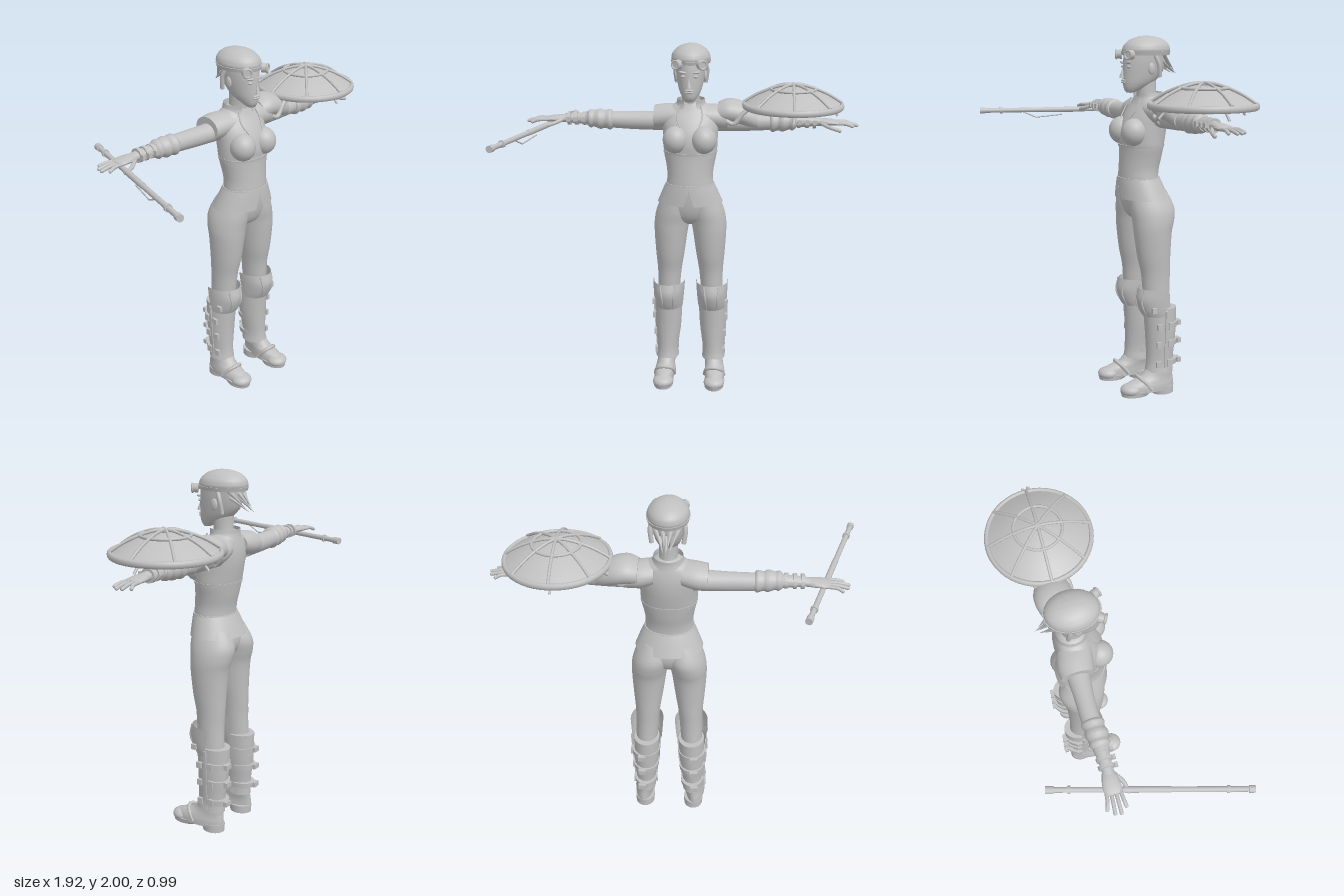
import * as THREE from 'three';
import { toCreasedNormals } from 'three/addons/utils/BufferGeometryUtils.js';

const MID = 0.037; // body centre line
const grey = new THREE.MeshStandardMaterial({ color: 0xc0c0c0, side: THREE.DoubleSide });
grey.name = 'plain grey';

function add(parent, name, geo, pos = [0, 0, 0], scale = [1, 1, 1], rot = [0, 0, 0]) {
  const m = new THREE.Mesh(geo, grey);
  m.name = name;
  m.position.set(...pos); m.scale.set(...scale); m.rotation.set(...rot);
  parent.add(m);
  return m;
}

// Spline through rows of numbers, k steps per span
function smoothRows(rows, k) {
  const out = [], last = rows.length - 1;
  for (let i = 0; i < last; i++) {
    const [p, a, b, q] = [rows[Math.max(i - 1, 0)], rows[i], rows[i + 1], rows[Math.min(i + 2, last)]];
    for (let s = 0; s < k; s++) {
      const t = s / k;
      out.push(a.map((_, c) => 0.5 * (2 * a[c] + (b[c] - p[c]) * t + (2 * p[c] - 5 * a[c] + 4 * b[c] - q[c]) * t * t
        + (3 * a[c] - p[c] - 3 * b[c] + q[c]) * t * t * t)));
    }
  }
  return [...out, rows[last]];
}

// Skin over elliptical sections: [position on axis, centre, half width, front z, back z, half gap angle]
function loft(rows, { axis = 'y', k = 4, n = 28, capped = true, crease = 0.9 } = {}) {
  const r = smoothRows(rows, k), pos = [], idx = [], w = n + 1;
  const put = (t, c, z) => (axis === 'y' ? pos.push(c, t, z) : pos.push(t, c, z));
  for (const [t, c, rx, hi, lo, gap = 0] of r)
    for (let j = 0; j <= n; j++) {
      const a = Math.PI / 2 + gap + (j / n) * 2 * (Math.PI - gap);
      put(t, c + rx * Math.cos(a), (hi + lo) / 2 + (hi - lo) / 2 * Math.sin(a));
    }
  const flip = (axis === 'x') !== (r.at(-1)[0] < r[0][0]) !== (r[0][3] < r[0][4]);
  const tri = (a, b, c) => idx.push(...(flip ? [a, c, b] : [a, b, c]));
  for (let i = 0; i < r.length - 1; i++)
    for (let j = 0; j < n; j++) {
      const a = i * w + j;
      tri(a, a + w, a + 1); tri(a + 1, a + w, a + w + 1);
    }
  if (capped) for (const i of [0, r.length - 1]) {
    const mid = pos.length / 3;
    put(r[i][0], r[i][1], (r[i][3] + r[i][4]) / 2);
    for (let j = 0; j < n; j++) i ? tri(mid, i * w + j + 1, i * w + j) : tri(mid, j, j + 1);
  }
  const g = new THREE.BufferGeometry();
  g.setAttribute('position', new THREE.Float32BufferAttribute(pos, 3));
  g.setIndex(idx);
  return toCreasedNormals(g, crease);
}

const ball = new THREE.SphereGeometry(1, 24, 16);
const tube = (pts, r, seg = 12, sides = 8) =>
  new THREE.TubeGeometry(new THREE.CatmullRomCurve3(pts.map(p => new THREE.Vector3(...p))), seg, r, sides);
function rod(parent, name, a, b, r) {
  const A = new THREE.Vector3(...a), d = new THREE.Vector3(...b).sub(A);
  const m = add(parent, name, new THREE.CylinderGeometry(r, r, d.length(), 14));
  m.position.copy(A).addScaledVector(d, 0.5);
  m.quaternion.setFromUnitVectors(new THREE.Vector3(0, 1, 0), d.normalize());
}

function head(g) {
  add(g, 'head', loft([[1.695, 0, 0.022, -0.04, -0.08], [1.715, 0, 0.04, -0.026, -0.13], [1.75, 0, 0.06, -0.02, -0.2],
    [1.8, 0, 0.073, -0.02, -0.25], [1.86, 0, 0.081, -0.022, -0.272], [1.92, 0, 0.083, -0.03, -0.278]]));
  add(g, 'neck', loft([[1.62, 0, 0.062, -0.1, -0.24], [1.68, 0, 0.049, -0.105, -0.215], [1.77, 0, 0.048, -0.09, -0.215]]));
  add(g, 'nose', new THREE.ConeGeometry(0.015, 0.06, 8), [0, 1.805, -0.012], [1, 1, 0.9], [-0.15, 0, 0]);
  for (const y of [1.751, 1.762]) add(g, 'lip', ball, [0, y, -0.02], [0.024, 0.006, 0.011]);
  for (const s of [-1, 1]) {
    add(g, 'eye', ball, [s * 0.033, 1.835, -0.034], [0.015, 0.008, 0.01]);
    add(g, 'brow', ball, [s * 0.035, 1.857, -0.031], [0.024, 0.007, 0.011], [0, 0, s * 0.15]);
    add(g, 'ear', ball, [s * 0.08, 1.825, -0.15], [0.01, 0.032, 0.02]);
    add(g, 'goggle', new THREE.CylinderGeometry(0.022, 0.026, 0.03, 16), [s * 0.066, 1.9, -0.025], [1, 1, 1], [Math.PI / 2, 0, s * -0.5]);
    add(g, 'gogglePad', new THREE.TorusGeometry(0.022, 0.006, 8, 16), [s * 0.073, 1.9, -0.011], [1, 1, 1], [0, s * 0.5, 0]);
    add(g, 'sideHair', tube([[s * 0.078, 1.9, -0.17], [s * 0.088, 1.85, -0.19], [s * 0.08, 1.78, -0.2]], 0.012));
  }
  add(g, 'cap', loft([[1.9, 0, 0.1, -0.026, -0.285], [1.925, 0, 0.107, -0.02, -0.293], [1.955, 0, 0.096, -0.034, -0.284],
    [1.982, 0, 0.066, -0.07, -0.25], [1.996, 0, 0.03, -0.115, -0.2], [2, 0, 0.002, -0.156, -0.16]]));
  add(g, 'capBand', loft([[1.896, 0, 0.106, -0.017, -0.29], [1.915, 0, 0.111, -0.012, -0.296]], { k: 1 }));
  // Tufts of hair below the back of the cap
  for (let i = 0; i < 7; i++) {
    const u = (i - 3) / 3, drop = i % 2 * 0.03;
    add(g, 'hairTuft', new THREE.ConeGeometry(0.02, 0.13, 6), [u * 0.045, 1.86 - drop, -0.295 + Math.abs(u) * 0.03], [1, 1, 0.7], [-2.45 + drop * 8, 0, u * 0.35]);
  }
}

function torso(g) {
  add(g, 'torso', loft([[1.18, 0, 0.135, -0.005, -0.225], [1.23, 0, 0.131, -0.003, -0.218], [1.28, 0, 0.128, -0.006, -0.222],
    [1.34, 0, 0.136, -0.01, -0.235], [1.4, 0, 0.148, -0.012, -0.245], [1.46, 0, 0.151, -0.008, -0.256], [1.52, 0, 0.154, -0.02, -0.264],
    [1.58, 0, 0.158, -0.05, -0.264], [1.63, 0, 0.143, -0.085, -0.255], [1.66, 0, 0.1, -0.1, -0.245], [1.685, 0, 0.055, -0.11, -0.225]]));
  add(g, 'underbustSeam', loft([[1.4, 0, 0.15, -0.006, -0.249], [1.413, 0, 0.152, -0.004, -0.251]], { k: 1 }));
  add(g, 'belt', loft([[1.212, 0, 0.139, 0.004, -0.228], [1.232, 0, 0.136, 0.003, -0.224]], { k: 1 }));
  add(g, 'collar', loft([[1.645, 0, 0.096, -0.085, -0.255, 0.45], [1.67, 0, 0.082, -0.09, -0.25, 0.4], [1.695, 0, 0.076, -0.085, -0.25, 0.5]], { capped: false }));
  // Flared skirt with a notch at the front
  add(g, 'skirt', loft([[1.228, 0, 0.136, 0.003, -0.225, 0], [1.185, 0, 0.155, 0.006, -0.245, 0.04], [1.115, 0, 0.184, 0.008, -0.275, 0.16]],
    { n: 40, capped: false }));
  add(g, 'hips', loft([[0.985, 0, 0.05, -0.1, -0.19], [1.02, 0, 0.13, -0.05, -0.235], [1.09, 0, 0.172, -0.022, -0.255],
    [1.2, 0, 0.14, -0.01, -0.23]]));
  for (const s of [-1, 1]) {
    add(g, 'bust', ball, [s * 0.078, 1.485, -0.047], [0.07, 0.076, 0.073]);
    add(g, 'vestShoulder', loft([[s * 0.07, 1.6, 0.06, -0.085, -0.265], [s * 0.14, 1.592, 0.068, -0.095, -0.28],
      [s * 0.205, 1.585, 0.066, -0.105, -0.275]], { axis: 'x' }));
    add(g, 'vestSeam', tube([[s * 0.06, 1.665, -0.095], [s * 0.07, 1.61, -0.065], [s * 0.05, 1.555, -0.026]], 0.004));
  }
}

function arm(g, s) {
  const X = { axis: 'x' };
  const sleeve = (name, rows, o = {}) => add(g, name, loft(rows.map(r => [s * r[0], ...r.slice(1)]), { ...X, ...o }));
  sleeve('upperArm', [[0.13, 1.565, 0.056, -0.12, -0.25], [0.22, 1.563, 0.052, -0.13, -0.243], [0.33, 1.563, 0.05, -0.138, -0.238], [0.47, 1.567, 0.046, -0.14, -0.236]]);
  sleeve('rolledCuff', [[0.44, 1.567, 0.046, -0.132, -0.235], [0.455, 1.567, 0.058, -0.124, -0.242], [0.485, 1.569, 0.05, -0.13, -0.234], [0.51, 1.57, 0.057, -0.12, -0.238],
    [0.545, 1.572, 0.047, -0.13, -0.228], [0.565, 1.572, 0.052, -0.125, -0.23], [0.585, 1.573, 0.036, -0.14, -0.218]]);
  sleeve('forearm', [[0.55, 1.573, 0.036, -0.14, -0.22], [0.63, 1.572, 0.031, -0.145, -0.213], [0.69, 1.572, 0.024, -0.148, -0.207], [0.73, 1.57, 0.021, -0.145, -0.21]]);
  for (const t of [0.6, 0.645, 0.685]) {
    sleeve('wristStrap', [[t - 0.009, 1.572, 0.038, -0.136, -0.22], [t + 0.009, 1.572, 0.037, -0.137, -0.219]], { k: 1 });
    add(g, 'wristBuckle', new THREE.BoxGeometry(0.022, 0.024, 0.016), [s * t, 1.575, -0.13]);
  }
  sleeve('palm', [[0.7, 1.57, 0.018, -0.15, -0.205], [0.74, 1.571, 0.02, -0.138, -0.218], [0.79, 1.569, 0.016, -0.132, -0.225], [0.825, 1.565, 0.011, -0.137, -0.22]]);
  [[0.89, 0.01], [0.917, 0.0], [0.912, -0.008], [0.885, -0.018]].forEach(([end, spread], i) => {
    const z = -0.146 - i * 0.022;
    add(g, 'finger', tube([[s * 0.8, 1.567, z], [s * 0.86, 1.566, z + spread * 0.5], [s * end, 1.556, z + spread]], 0.0095));
    add(g, 'fingertip', ball, [s * end, 1.556, z + spread], [0.0095, 0.0095, 0.0095]);
  });
  add(g, 'thumb', tube([[s * 0.725, 1.565, -0.15], [s * 0.77, 1.55, -0.118], [s * 0.82, 1.537, -0.105]], 0.011));
  add(g, 'thumbTip', ball, [s * 0.82, 1.537, -0.105], [0.011, 0.011, 0.011]);
}

function leg(g, s) {
  const part = (name, rows, o) => add(g, name, loft(rows.map(r => [r[0], s * r[1], ...r.slice(2)]), o));
  part('leg', [[1.16, 0.075, 0.075, -0.025, -0.24], [1.07, 0.09, 0.1, -0.024, -0.28], [1, 0.104, 0.101, -0.032, -0.274], [0.93, 0.111, 0.095, -0.038, -0.256],
    [0.8, 0.116, 0.082, -0.055, -0.247], [0.7, 0.12, 0.07, -0.076, -0.245], [0.6, 0.124, 0.064, -0.085, -0.243], [0.45, 0.13, 0.06, -0.1, -0.25]]);
  const shaft = [[0.12, 0.138, 0.058, -0.11, -0.262], [0.2, 0.136, 0.057, -0.113, -0.262], [0.34, 0.132, 0.069, -0.11, -0.277], [0.5, 0.128, 0.073, -0.1, -0.283]];
  part('bootShaft', shaft);
  // Front shells: front and back are swapped so that the gap falls behind
  part('shinPlate', [[0.135, 0.138, 0.068, -0.28, -0.094, 1.45], [0.2, 0.136, 0.063, -0.27, -0.103, 1.45], [0.34, 0.132, 0.076, -0.28, -0.1, 1.45],
    [0.5, 0.128, 0.08, -0.285, -0.088, 1.45]], { capped: false });
  part('kneeGuard', [[0.46, 0.128, 0.082, -0.29, -0.083, 1.75], [0.5, 0.128, 0.086, -0.29, -0.062, 1.5], [0.56, 0.127, 0.09, -0.3, -0.045, 1.4], [0.62, 0.126, 0.093, -0.3, -0.058, 1.4]], { capped: false });
  for (const [dx, w] of [[-0.035, 0.006], [0.035, 0.006]])
    add(g, 'kneeGuardRidge', tube([[s * 0.128 + dx * 0.8, 0.465, -0.09], [s * 0.127 + dx, 0.54, -0.055], [s * 0.126 + dx * 1.25, 0.615, -0.07]], w));
  add(g, 'kneeStud', new THREE.BoxGeometry(0.016, 0.03, 0.03), [s * 0.211, 0.505, -0.11]);
  [[0.405, 0.134, 0.079], [0.3, 0.133, 0.072], [0.185, 0.136, 0.064]].forEach(([y, c, r]) => {
    part('calfStrap', [[y - 0.015, c, r, -0.285, -0.108, 0], [y + 0.015, c, r + 0.002, -0.287, -0.106, 0]], { k: 1 });
    add(g, 'strapBuckle', new THREE.BoxGeometry(0.016, 0.034, 0.03), [s * (c + r), y, -0.145]);
    add(g, 'strapLoop', new THREE.BoxGeometry(0.014, 0.04, 0.03), [s * (c + r - 0.002), y, -0.215]);
    add(g, 'backBuckle', new THREE.BoxGeometry(0.045, 0.028, 0.022), [s * (c + 0.015), y, -0.29]);
  });
  add(g, 'bootSeam', new THREE.BoxGeometry(0.01, 0.35, 0.012), [s * 0.206, 0.32, -0.185], [1, 1, 1], [0, 0, s * -0.06]);
  part('sole', [[0.012, 0.15, 0.056, 0.058, -0.1], [0.04, 0.15, 0.061, 0.066, -0.14]], { k: 1 });
  part('heel', [[0, 0.144, 0.054, -0.135, -0.262], [0.045, 0.144, 0.056, -0.12, -0.264]], { k: 1 });
  part('boot', [[0.03, 0.15, 0.058, 0.06, -0.262], [0.06, 0.15, 0.058, 0.052, -0.262], [0.085, 0.147, 0.055, 0.012, -0.26], [0.11, 0.143, 0.053, -0.06, -0.258], [0.15, 0.138, 0.056, -0.1, -0.26]]);
  add(g, 'toeCap', ball, [s * 0.15, 0.045, 0.005], [0.06, 0.036, 0.06]);
  add(g, 'instepStrap', tube([[s * 0.205, 0.045, -0.1], [s * 0.185, 0.1, -0.055], [s * 0.145, 0.115, -0.04], [s * 0.105, 0.1, -0.055], [s * 0.09, 0.045, -0.1]], 0.011));
}

function shield() {
  const g = new THREE.Group();
  g.name = 'shield';
  const dome = [[0.001, 1.764], [0.06, 1.758], [0.13, 1.738], [0.2, 1.708], [0.272, 1.664]];
  add(g, 'dome', new THREE.LatheGeometry(dome.map(p => new THREE.Vector2(...p)).reverse(), 32));
  const ring = (name, r, y, t, sy) => add(g, name, new THREE.TorusGeometry(r, t, 10, 48), [0, y, 0], [1, 1, sy], [Math.PI / 2, 0, 0]);
  ring('rim', 0.27, 1.66, 0.013, 1.4);
  ring('innerRing', 0.125, 1.75, 0.008, 1);
  for (let i = 0; i < 8; i++) {
    const rib = new THREE.Group();
    rib.rotation.y = i * Math.PI / 4;
    rib.name = 'ribAndHook';
    add(rib, 'rib', tube(dome.map(([r, y]) => [r, y + 0.012, 0]), 0.008));
    if (i % 2 === 0) add(rib, 'hook', tube([[0.19, 1.7, 0], [0.215, 1.645, 0], [0.25, 1.605, 0]], 0.007));
    g.add(rib);
  }
  add(g, 'hub', ball, [0, 1.768, 0], [0.022, 0.016, 0.022]);
  add(g, 'grip', new THREE.BoxGeometry(0.12, 0.014, 0.05), [0, 1.628, 0]);
  for (const s of [-1, 1]) rod(g, 'gripPost', [s * 0.045, 1.62, 0], [s * 0.045, 1.76, 0], 0.008);
  g.position.set(0.6, 0, -0.19);
  return g;
}

function pauldron(g) {
  add(g, 'pauldron', loft([[0.15, 1.61, 0.06, -0.11, -0.285], [0.2, 1.622, 0.068, -0.095, -0.3], [0.26, 1.615, 0.07, -0.1, -0.3],
    [0.32, 1.595, 0.064, -0.11, -0.28], [0.37, 1.575, 0.054, -0.13, -0.25]], { axis: 'x' }));
  for (const z of [-0.105, -0.27])
    add(g, 'pauldronStrap', tube([[0.2, 1.58, z], [0.24, 1.567, z + 0.005], [0.29, 1.625, z], [0.35, 1.67, z - 0.02]], 0.013));
}

function staff() {
  const g = new THREE.Group();
  g.name = 'staff';
  const at = (u, dy = 0) => [-0.937 + 0.267 * u, 1.54 + dy, 0.485 - 0.975 * u];
  rod(g, 'shaft', at(0), at(1), 0.014);
  for (const [a, b, r] of [[0, 0.03, 0.019], [0.12, 0.135, 0.02], [0.4, 0.62, 0.016], [0.88, 0.895, 0.02], [0.96, 1, 0.019]]) rod(g, 'collarRing', at(a), at(b), r);
  rod(g, 'trigger', at(0.24), at(0.34, -0.045), 0.004);
  rod(g, 'trigger', at(0.34, -0.045), at(0.5, -0.03), 0.004);
  return g;
}

export function createModel() {
  const model = new THREE.Group(), body = new THREE.Group();
  model.name = 'armouredFigure';
  body.name = 'body';
  body.position.x = MID;
  head(body); torso(body); pauldron(body);
  for (const s of [-1, 1]) { arm(body, s); leg(body, s); }
  model.add(body, shield(), staff());
  return model;
}
